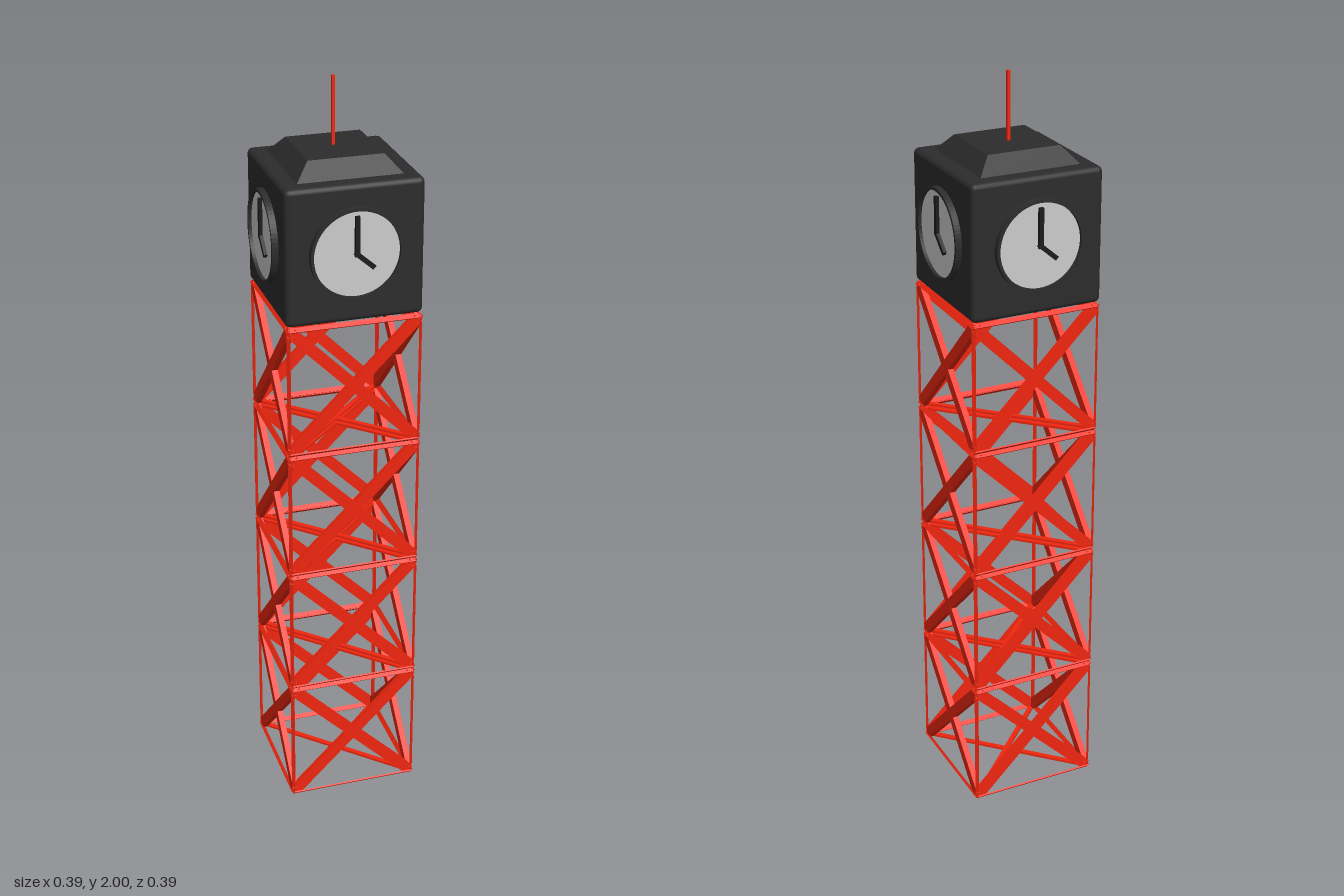
import * as THREE from 'three';
import { RoundedBoxGeometry } from 'three/addons/geometries/RoundedBoxGeometry.js';

const mat = (color) => new THREE.MeshStandardMaterial({ color });

function add(parent, name, geometry, material, x = 0, y = 0, z = 0) {
  const mesh = new THREE.Mesh(geometry, material);
  mesh.name = name;
  mesh.position.set(x, y, z);
  parent.add(mesh);
  return mesh;
}

export function createModel() {
  const root = new THREE.Group();
  root.name = 'clockTower';
  const red = mat(0xf0260f), dark = mat(0x2c2c2c), black = mat(0x1c1c1c), pale = mat(0xcccccc);

  // Lattice mast: four stacked cells, each cross-braced on all six sides
  const pitch = 0.355, edge = 0.173, span = 0.346;
  const railGeo = new THREE.BoxGeometry(span, 0.013, 0.004);
  const postGeo = new THREE.BoxGeometry(0.010, span, 0.003);
  const braceGeo = new THREE.BoxGeometry(0.47, 0.029, 0.016);
  const flatGeo = new THREE.BoxGeometry(0.48, 0.006, 0.014);
  for (let level = 0; level < 4; level++) {
    const cell = new THREE.Group();
    cell.name = `latticeCell${level + 1}`;
    cell.position.y = pitch * (level + 0.5) + 0.003;
    root.add(cell);
    for (let side = 0; side < 4; side++) {
      const panel = new THREE.Group();
      panel.name = `sidePanel${side + 1}`;
      panel.rotation.y = side * Math.PI / 2;
      cell.add(panel);
      for (const s of [-1, 1]) {
        // thin rails tilted outwards along the cell edges
        add(panel, s > 0 ? 'topRail' : 'bottomRail', railGeo, red, 0, s * edge, edge).rotation.x = -s * Math.PI / 4;
        add(panel, 'diagonalBrace', braceGeo, red, 0, 0, 0.168).rotation.z = s * Math.PI / 4;
      }
      add(panel, 'cornerPost', postGeo, red, edge, 0, edge).rotation.y = Math.PI / 4;
    }
    // slim crossed braces lying flat across the top and bottom of the cell
    for (const y of [-0.171, 0.171]) {
      for (const s of [-1, 1]) {
        add(cell, 'flatBrace', flatGeo, red, 0, y, 0).rotation.y = s * Math.PI / 4;
      }
    }
  }

  // Clock housing with softened edges
  add(root, 'clockHousing', new RoundedBoxGeometry(0.357, 0.356, 0.357, 2, 0.014), dark, -0.001, 1.604, -0.001);

  // Sloping square cap
  const capGeo = new THREE.CylinderGeometry(0.098 * Math.SQRT2, 0.138 * Math.SQRT2, 0.046, 4, 1).toNonIndexed();
  capGeo.rotateY(Math.PI / 4);
  capGeo.computeVertexNormals();
  add(root, 'roofCap', capGeo, dark, -0.001, 1.802, -0.001);

  // Spire
  add(root, 'spire', new THREE.BoxGeometry(0.008, 0.18, 0.008), red, -0.003, 1.91, -0.006);

  // Clock dials: raised rim, recessed face and two hands on every side
  const ring = new THREE.Shape().absarc(0, 0, 0.119, 0, Math.PI * 2);
  ring.holes.push(new THREE.Path().absarc(0, 0, 0.111, 0, Math.PI * 2, true));
  const rimGeo = new THREE.ExtrudeGeometry(ring, { depth: 0.022, bevelEnabled: false, curveSegments: 32 });
  const faceGeo = new THREE.CylinderGeometry(0.112, 0.112, 0.012, 32).rotateX(Math.PI / 2);
  const minuteGeo = new THREE.BoxGeometry(0.012, 0.104, 0.009).translate(0, 0.046, 0);
  const hourGeo = new THREE.BoxGeometry(0.012, 0.064, 0.009).translate(0, 0.026, 0);
  for (let side = 0; side < 4; side++) {
    const dial = new THREE.Group();
    dial.name = `clockDial${side + 1}`;
    dial.position.set(-0.001, 1.608, -0.001);
    dial.rotation.y = side * Math.PI / 2;
    root.add(dial);
    add(dial, 'dialRim', rimGeo, dark, 0, 0, 0.173);
    add(dial, 'dialFace', faceGeo, pale, 0, 0, 0.180);
    add(dial, 'minuteHand', minuteGeo, black, 0, 0, 0.1925);
    add(dial, 'hourHand', hourGeo, black, 0, 0, 0.192).rotation.z = -2.29;
  }
  return root;
}
